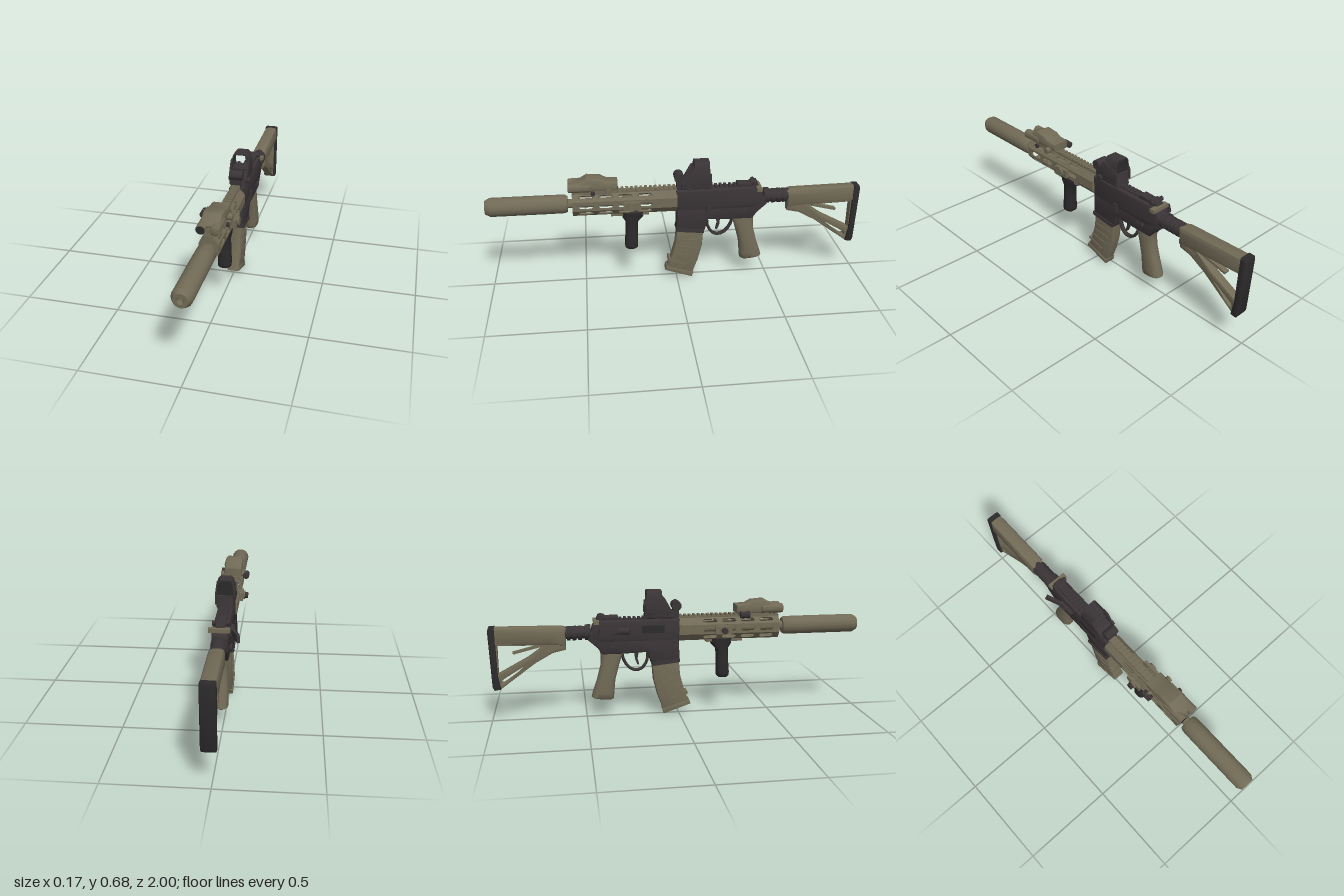
import * as THREE from 'three';
import { toCreasedNormals } from 'three/addons/utils/BufferGeometryUtils.js';

const mat = (name, color, side = THREE.FrontSide) => {
  const m = new THREE.MeshStandardMaterial({ color, side });
  m.name = name;
  return m;
};

export function createModel() {
  const tan = mat('tan', 0x716a56);
  const dark = mat('charcoal', 0x3a3436);
  const black = mat('black', 0x2c2a2b);
  const root = new THREE.Group();
  root.name = 'rifle';
  root.position.x = 0.012;
  const model = new THREE.Group();
  model.add(root);

  const add = (name, geo, m, x = 0, y = 0, z = 0, parent = root) => {
    const mesh = new THREE.Mesh(geo, m);
    mesh.name = name;
    mesh.position.set(x, y, z);
    parent.add(mesh);
    return mesh;
  };
  const box = (name, m, w, h, d, x, y, z) => add(name, new THREE.BoxGeometry(w, h, d), m, x, y, z);
  const toPath = (pts) => pts.map(([a, b]) => new THREE.Vector2(a, b));
  // profile in (z, y), given thickness w along x
  const side = (pts, w, bevel = 0, holes = []) => {
    const s = new THREE.Shape(toPath(pts));
    holes.forEach((h) => s.holes.push(new THREE.Path(toPath(h))));
    const depth = w - 2 * bevel;
    const g = new THREE.ExtrudeGeometry(s, {
      depth, bevelEnabled: bevel > 0, bevelSize: bevel, bevelThickness: bevel, bevelOffset: -bevel, bevelSegments: 2,
    });
    g.translate(0, 0, -depth / 2).rotateY(-Math.PI / 2);
    return toCreasedNormals(g, 0.6);
  };
  // round part along z, profile of [radius, z] running backward to forward
  const turned = (pts, n = 16) =>
    toCreasedNormals(new THREE.LatheGeometry(toPath(pts), n).rotateX(Math.PI / 2), 0.6);
  const knob = (r, len, n = 14) => new THREE.CylinderGeometry(r, r, len, n).rotateZ(Math.PI / 2);
  // stacked oval sections, top to bottom: [y, centre z, half x, half z, tilt]
  const loft = (rows, n = 14) => {
    const pos = [], idx = [];
    rows.forEach(([y, z, hx, hz, tilt = 0], r) => {
      for (let i = 0; i < n; i++) {
        const a = (i / n) * Math.PI * 2, j = (i + 1) % n;
        const sq = (v) => Math.sign(v) * Math.pow(Math.abs(v), 0.75);
        pos.push(hx * sq(Math.cos(a)), y + tilt * Math.sin(a), z + hz * sq(Math.sin(a)));
        if (r) {
          const t = (r - 1) * n, b = r * n;
          idx.push(t + i, t + j, b + i, t + j, b + j, b + i);
        }
      }
    });
    const g = new THREE.BufferGeometry();
    g.setAttribute('position', new THREE.Float32BufferAttribute(pos, 3));
    g.setIndex(idx);
    return toCreasedNormals(g, 0.9);
  };

  // muzzle tube with a recessed bore, and the barrel behind it
  const axisY = 0.468;
  add('muzzleTube', turned([[0, 0.575], [0.042, 0.575], [0.049, 0.59], [0.05, 0.66], [0.05, 0.975],
    [0.036, 1], [0.018, 1], [0.012, 0.985], [0, 0.98]]), tan, 0, axisY);
  add('barrel', turned([[0, 0], [0.024, 0], [0.024, 0.58], [0, 0.58]]), tan, 0, axisY);

  // handguard: eight slotted panels around the barrel
  const guard = new THREE.Group();
  guard.name = 'handguard';
  guard.position.y = 0.466;
  guard.scale.y = 1.25;
  root.add(guard);
  const slots = [];
  for (let i = 0; i < 4; i++) {
    const a = 0.13 + i * 0.103, b = a + 0.08, h = 0.011;
    slots.push([[a, 0], [a + 0.01, -h], [b - 0.01, -h], [b, 0], [b - 0.01, h], [a + 0.01, h]]);
  }
  const panel = side([[0, -0.0205], [0.55, -0.0205], [0.55, 0.0205], [0, 0.0205]], 0.007, 0, slots);
  panel.translate(0.0455, 0, 0);
  for (let i = 0; i < 8; i++) add('handguardPanel', panel, tan, 0, 0, 0, guard).rotation.z = (i * Math.PI) / 4;
  for (const z of [0.01, 0.545]) {
    add('handguardRing', new THREE.RingGeometry(0.02, 0.05, 8, 1, Math.PI / 8), tan, 0, 0, z, guard)
      .rotation.y = z > 0.1 ? 0 : Math.PI;
  }

  // toothed top rail
  box('frontRail', tan, 0.042, 0.012, 0.55, 0, 0.528, 0.275);
  for (let i = 0; i < 22; i++) box('frontRailTooth', tan, 0.044, 0.011, 0.014, 0, 0.538, 0.012 + i * 0.025);
  for (let i = 0; i < 17; i++) box('rearRailTooth', dark, 0.044, 0.012, 0.014, 0, 0.532, -0.012 - i * 0.025);

  // aiming unit on the front rail
  add('aimingUnitBody', side([[0.31, 0.548], [0.54, 0.548], [0.55, 0.585], [0.5, 0.6], [0.47, 0.618],
    [0.4, 0.612], [0.37, 0.596], [0.31, 0.592]], 0.1, 0.014), tan);
  box('aimingUnitMount', tan, 0.07, 0.03, 0.14, 0, 0.54, 0.42);
  for (const x of [-0.034, 0.034]) {
    add('aimingTube', turned([[0, 0.44], [0.025, 0.45], [0.025, 0.565], [0.02, 0.568], [0, 0.568]]), tan, x, 0.57);
  }
  add('aimingLens', new THREE.CircleGeometry(0.022, 16), black, -0.034, 0.57, 0.5695);
  add('aimingCentreStud', turned([[0, 0.5], [0.011, 0.5], [0.011, 0.56], [0, 0.56]], 10), tan, 0, 0.565);
  add('aimingSideKnob', turned([[0, 0.32], [0.018, 0.325], [0.018, 0.375], [0, 0.38]]), dark, -0.075, 0.546);
  add('aimingSideArm', knob(0.012, 0.06), tan, -0.05, 0.552, 0.35);
  add('aimingClamp', knob(0.017, 0.03), tan, 0.056, 0.546, 0.36);
  add('aimingCap', knob(0.012, 0.012), dark, 0.066, 0.546, 0.44);

  // side mounts on the handguard
  for (const s of [-1, 1]) {
    box('sideMount', tan, 0.022, 0.045, 0.09, s * 0.056, 0.462, 0.24);
    add('sideMountCap', knob(0.024, 0.02, 8), tan, s * 0.067, 0.462, 0.24);
  }
  add('sideButton', knob(0.017, 0.02), dark, -0.083, 0.462, 0.24);
  box('lowerRail', tan, 0.044, 0.02, 0.2, 0, 0.402, 0.25);

  // vertical front grip
  add('frontGrip', loft([[0.408, 0.235, 0, 0], [0.408, 0.235, 0.036, 0.062], [0.378, 0.235, 0.034, 0.056],
    [0.35, 0.24, 0.03, 0.034], [0.29, 0.243, 0.032, 0.033], [0.215, 0.246, 0.036, 0.036],
    [0.198, 0.246, 0.034, 0.034], [0.19, 0.246, 0.024, 0.024], [0.19, 0.246, 0, 0]]), black);

  // receiver with magazine well
  add('upperReceiver', side([[0, 0.405], [0.005, 0.525], [-0.43, 0.528], [-0.46, 0.5], [-0.48, 0.43],
    [-0.4, 0.405]], 0.082, 0.014), dark);
  add('lowerReceiver', side([[0, 0.43], [0.003, 0.29], [-0.145, 0.272], [-0.17, 0.35], [-0.3, 0.345],
    [-0.41, 0.345], [-0.435, 0.38], [-0.485, 0.425], [-0.48, 0.47], [-0.3, 0.45]], 0.078, 0.01), dark);
  box('magazineWellLip', dark, 0.088, 0.02, 0.15, 0, 0.292, -0.071).rotation.x = -0.11;
  box('ejectionPort', black, 0.006, 0.04, 0.12, -0.042, 0.475, -0.14);
  add('forwardButton', turned([[0, -0.35], [0.017, -0.35], [0.017, -0.27], [0, -0.26]]), dark, -0.044, 0.47);
  box('boltCatch', dark, 0.012, 0.05, 0.025, 0.043, 0.41, -0.17);
  for (const s of [-1, 1]) {
    add('selector', knob(0.013, 0.012), dark, s * 0.042, 0.395, -0.36);
    box('selectorLever', dark, 0.008, 0.012, 0.04, s * 0.046, 0.395, -0.345);
    add('receiverPin', knob(0.009, 0.006), dark, s * 0.041, 0.4, -0.03);
  }

  // charging handle, latch and folded rear sight
  box('chargingHandle', tan, 0.105, 0.02, 0.028, 0.005, 0.518, -0.44);
  add('chargingLatch', side([[-0.44, -0.02], [-0.43, 0.02], [-0.3, 0.012], [-0.3, -0.01]], 0.016)
    .translate(0, 0, 0.37).rotateY(0.36), dark, -0.064, 0.472, -0.37);
  add('rearSight', side([[-0.32, 0.53], [-0.325, 0.55], [-0.39, 0.548], [-0.4, 0.557], [-0.43, 0.557],
    [-0.44, 0.53]], 0.05, 0.005), dark);
  add('rearSightKnob', knob(0.012, 0.08, 10), dark, 0, 0.545, -0.415);

  // magazine with raised ribs and a base plate
  const magazine = [[0, 0.3], [0.008, 0.21], [0.03, 0.13], [0.06, 0.052], [-0.08, 0.006],
    [-0.115, 0.1], [-0.138, 0.19], [-0.146, 0.3]];
  add('magazine', side(magazine, 0.06, 0.009), tan);
  add('magazineBase', side([[0.057, 0.074], [0.065, 0.05], [-0.083, 0, 0], [-0.092, 0.027]], 0.068, 0.006), tan);
  for (let i = 0; i < 4; i++) {
    const y = 0.225 - i * 0.042, z = -0.062 + i * i * 0.004 + i * 0.008;
    box('magazineRib', tan, 0.066, 0.014, 0.105, 0, y, z).rotation.x = -0.08 - i * 0.08;
  }

  // trigger and guard
  const loop = new THREE.CatmullRomCurve3([[0.35, -0.165], [0.295, -0.172], [0.255, -0.2], [0.247, -0.235],
    [0.265, -0.27], [0.31, -0.298], [0.345, -0.305]].map(([y, z]) => new THREE.Vector3(0, y, z)));
  add('triggerGuard', new THREE.TubeGeometry(loop, 24, 0.008, 8), dark).scale.x = 1.8;
  add('trigger', side([[-0.215, 0.35], [-0.238, 0.35], [-0.235, 0.305], [-0.222, 0.275], [-0.213, 0.278],
    [-0.222, 0.31]], 0.014), dark);

  // pistol grip
  add('pistolGrip', loft([[0.365, -0.365, 0.03, 0.062], [0.335, -0.362, 0.032, 0.058],
    [0.28, -0.372, 0.034, 0.05], [0.2, -0.393, 0.037, 0.05], [0.13, -0.408, 0.038, 0.058, -0.004],
    [0.102, -0.413, 0.037, 0.06, -0.006], [0.095, -0.413, 0.028, 0.05, -0.006], [0.095, -0.413, 0, 0]]), tan);

  // buffer tube and its ring
  add('bufferTube', turned([[0, -0.7], [0.034, -0.7], [0.034, -0.5], [0.042, -0.5], [0.042, -0.47], [0, -0.47]]),
    dark, 0, 0.463);
  for (let i = 0; i < 3; i++) add('bufferRing', turned([[0.03, -0.02], [0.039, -0.02], [0.039, 0], [0.03, 0]]),
    dark, 0, 0.46, -0.515 - i * 0.03);

  // skeleton stock and butt pad
  add('stockTube', side([[-0.6, 0.395], [-0.595, 0.49], [-0.62, 0.5], [-0.97, 0.505], [-0.97, 0.415],
    [-0.68, 0.405]], 0.078, 0.022), tan);
  add('stockFrame', side([[-0.6, 0.43], [-0.602, 0.375], [-0.67, 0.36], [-0.76, 0.31], [-0.945, 0.175],
    [-0.975, 0.175], [-0.975, 0.43]], 0.046, 0.005, [
    [[-0.71, 0.402], [-0.955, 0.408], [-0.955, 0.255], [-0.8, 0.338]],
    [[-0.765, 0.328], [-0.935, 0.225], [-0.94, 0.207], [-0.925, 0.207], [-0.765, 0.318]]]), tan);
  box('stockBrace', tan, 0.03, 0.012, 0.18, 0, 0.385, -0.79).rotation.x = -0.24;
  box('stockLever', tan, 0.05, 0.02, 0.08, 0, 0.385, -0.66).rotation.x = -0.3;
  add('buttPad', side([[-0.965, 0.507], [-0.995, 0.505], [-1, 0.49], [-0.988, 0.19], [-0.978, 0.17],
    [-0.945, 0.175], [-0.958, 0.25]], 0.074, 0.008), black);

  // reflex sight: base, open hood, cheeks, rear glass
  add('opticBase', side([[-0.02, 0.53], [-0.025, 0.565], [-0.06, 0.585], [-0.175, 0.59], [-0.185, 0.53]],
    0.086, 0.01), dark);
  const arch = (w, top, bottom) => [[-w, bottom], [w, bottom], [w, 0.625], [w * 0.86, top - 0.014],
    [w * 0.6, top], [-w * 0.6, top], [-w * 0.86, top - 0.014], [-w, 0.625]];
  const hood = new THREE.Shape(toPath(arch(0.048, 0.68, 0.575)));
  hood.holes.push(new THREE.Path(toPath(arch(0.042, 0.674, 0.597))));
  add('opticHood', toCreasedNormals(new THREE.ExtrudeGeometry(hood, { depth: 0.08, bevelEnabled: false }), 0.6),
    dark, 0, 0, -0.172);
  for (const s of [-1, 1]) {
    add('opticCheek', side([[-0.03, 0.555], [-0.055, 0.6], [-0.08, 0.645], [-0.095, 0.65], [-0.18, 0.62],
      [-0.185, 0.555]], 0.008, 0.002), dark, s * 0.046);
  }
  add('opticGlass', new THREE.ShapeGeometry(new THREE.Shape(toPath(arch(0.043, 0.675, 0.59)))).rotateY(Math.PI),
    black, 0, 0, -0.16);
  add('opticBattery', knob(0.026, 0.07), dark, 0, 0.595, -0.012);
  box('opticFoot', dark, 0.05, 0.05, 0.03, 0, 0.555, -0.015);
  add('opticClamp', knob(0.016, 0.02), dark, 0.052, 0.55, -0.06);

  return model;
}
